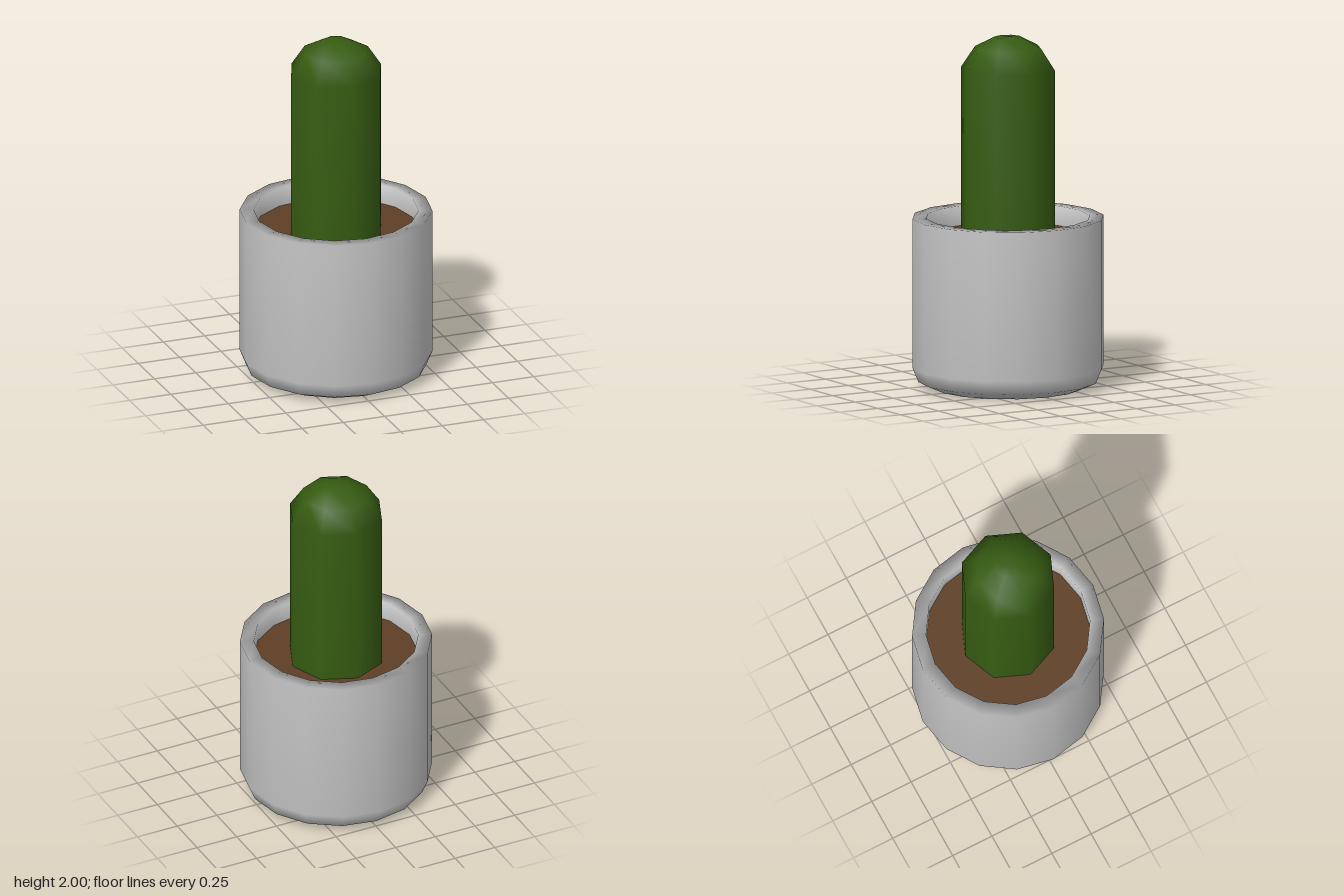
import * as THREE from 'three';

const material = (name, color) => {
  const m = new THREE.MeshStandardMaterial({ color });
  m.name = name;
  return m;
};

// Smooth turned part from [radius, height] pairs, listed from bottom to top
const turned = (name, profile, sides, mat) => {
  const points = profile.map(([r, y]) => new THREE.Vector2(r, y));
  const mesh = new THREE.Mesh(new THREE.LatheGeometry(points, sides), mat);
  mesh.name = name;
  return mesh;
};

export function createModel() {
  const group = new THREE.Group();
  group.name = 'pottedCactus';
  const potGrey = material('pot grey', 0xc0c0c0);
  const soilBrown = material('soil brown', 0x5f3f26);
  const cactusGreen = material('cactus green', 0x365c12);
  const soilY = 0.86;

  // Pot: closed base, rounded foot, straight wall, rim and inner wall
  group.add(turned('pot', [
    [0, 0], [0.42, 0], [0.51, 0.04], [0.543, 0.12],
    [0.543, 0.972], [0.464, 0.972], [0.464, soilY - 0.01],
  ], 16, potGrey));

  // Soil disc filling the pot
  const soil = new THREE.Mesh(new THREE.CircleGeometry(0.464, 16), soilBrown);
  soil.name = 'soil';
  soil.rotation.x = -Math.PI / 2;
  soil.position.y = soilY;
  group.add(soil);

  // Cactus column with a domed top
  group.add(turned('cactus', [
    [0.272, soilY - 0.01], [0.272, 1.82], [0.192, 1.94], [0.075, 2], [0, 2],
  ], 8, cactusGreen));

  return group;
}
